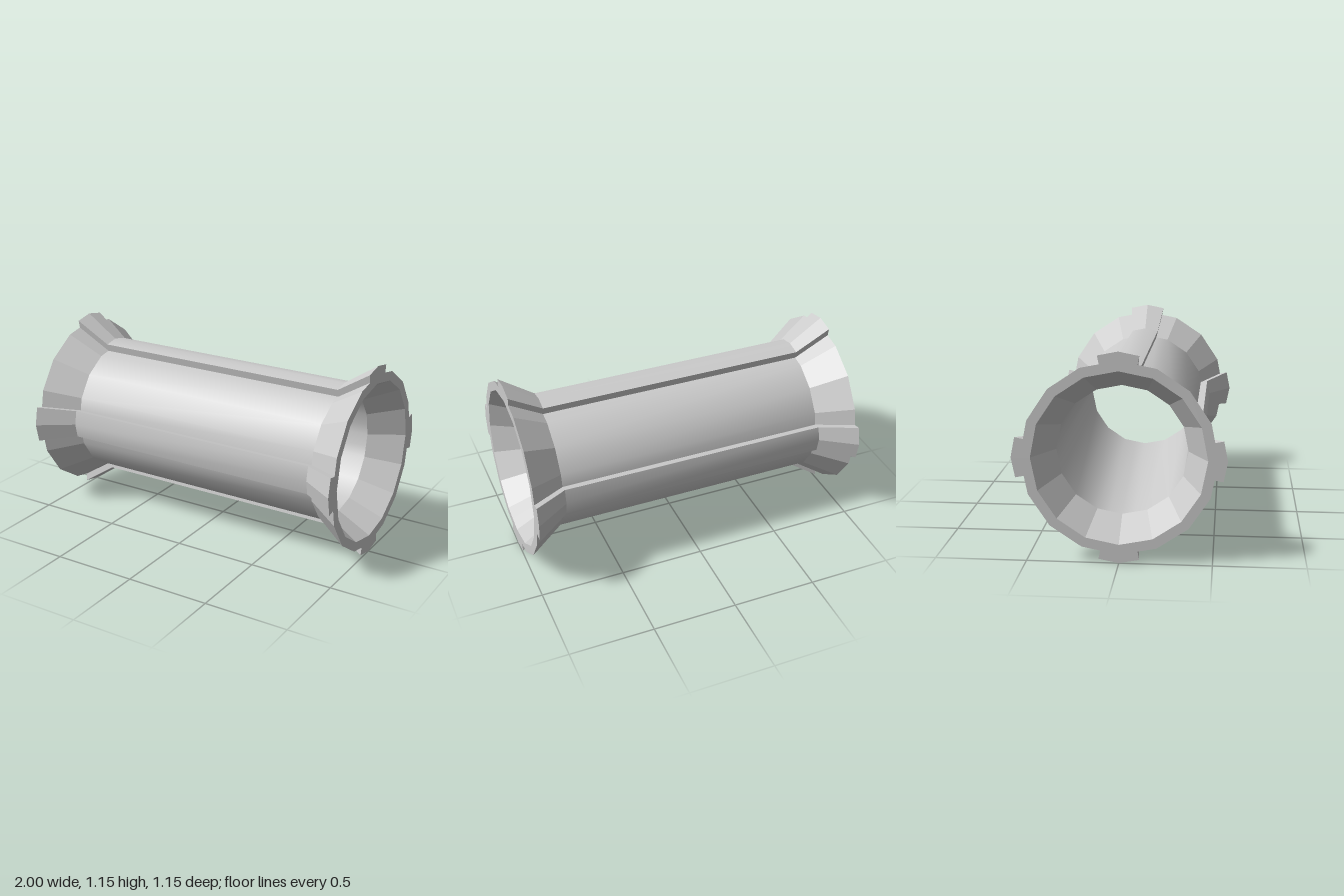
import * as THREE from 'three';
import { toCreasedNormals } from 'three/addons/utils/BufferGeometryUtils.js';

const SIDES = 16, STEP = (Math.PI * 2) / SIDES, CENTRE_Y = 0.573;
const MID = Math.cos(STEP / 2); // edge midpoint radius of the polygon

// Cross-section at x: a 16-gon of radius r, with a rib of radius rib at every fourth corner.
function ring(x, r, rib = r) {
  const points = [];
  const add = (a, rad) =>
    points.push(new THREE.Vector3(x, CENTRE_Y + rad * Math.cos(a), rad * Math.sin(a)));
  for (let i = 0; i < SIDES; i++) {
    const a = i * STEP;
    if (i % 4) { add(a, r); continue; }
    add(a - STEP / 2, r * MID);
    add(a - STEP / 2, rib * MID);
    add(a, rib);
    add(a + STEP / 2, rib * MID);
    add(a + STEP / 2, r * MID);
  }
  return points;
}

// Skin between two rings, skipping triangles without area.
function loft(from, to) {
  const positions = [];
  const tri = (a, b, c) => {
    if (new THREE.Triangle(a, b, c).getArea() < 1e-7) return;
    for (const p of [a, b, c]) positions.push(p.x, p.y, p.z);
  };
  from.forEach((p, i) => {
    const j = (i + 1) % from.length;
    tri(p, from[j], to[i]);
    tri(from[j], to[j], to[i]);
  });
  const geometry = new THREE.BufferGeometry();
  geometry.setAttribute('position', new THREE.Float32BufferAttribute(positions, 3));
  geometry.computeVertexNormals();
  return geometry;
}

export function createModel() {
  const group = new THREE.Group();
  group.name = 'flaredRibbedTube';
  const flat = new THREE.MeshStandardMaterial({ color: 0xcccccc, flatShading: true });
  const smooth = new THREE.MeshStandardMaterial({ color: 0xcccccc });

  const add = (name, from, to, round = false) => {
    const geometry = loft(from, to);
    const mesh = new THREE.Mesh(
      round ? toCreasedNormals(geometry, Math.PI / 6) : geometry, round ? smooth : flat);
    mesh.name = name;
    group.add(mesh);
  };

  const outerEnd = (x) => ring(x, 0.525, 0.573);
  const outerBody = (x) => ring(x, 0.393, 0.438);
  const innerEnd = (x) => ring(x, 0.47);
  const innerBody = (x) => ring(x, 0.36);

  // Outside, from right to left
  add('rightFlareOuter', outerEnd(-1), outerBody(-0.8));
  add('tubeOuter', outerBody(-0.8), outerBody(0.8), true);
  add('leftFlareOuter', outerBody(0.8), outerEnd(1));
  // Left rim, bore back to the right, right rim
  add('leftRim', outerEnd(1), innerEnd(1));
  add('leftFlareInner', innerEnd(1), innerBody(0.8));
  add('tubeInner', innerBody(0.8), innerBody(-0.8), true);
  add('rightFlareInner', innerBody(-0.8), innerEnd(-1));
  add('rightRim', innerEnd(-1), outerEnd(-1));
  return group;
}
